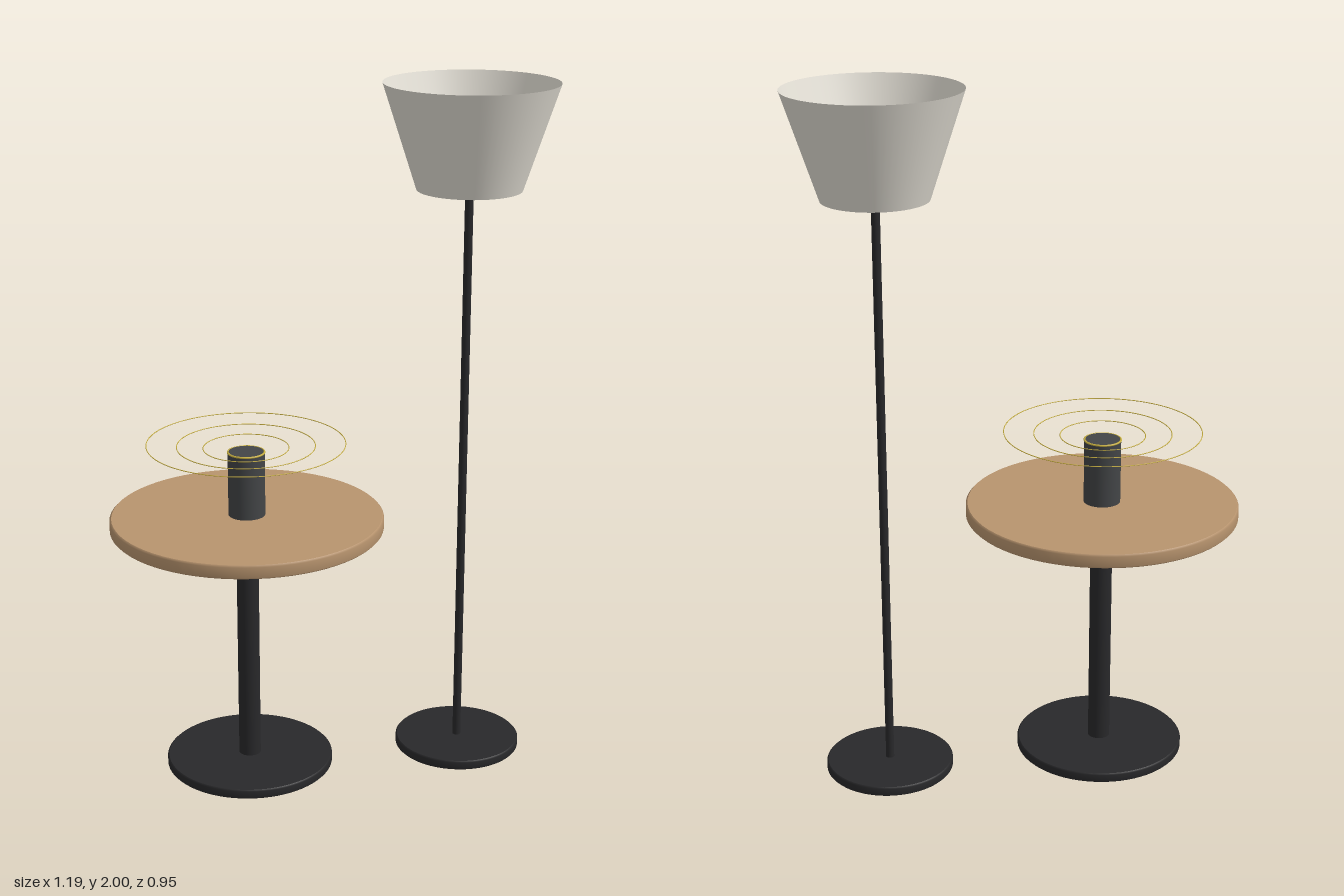
import * as THREE from 'three';

const mat = (color, side = THREE.FrontSide) => new THREE.MeshStandardMaterial({ color, side });

export function createModel() {
  const model = new THREE.Group();
  model.name = 'tableAndFloorLamp';
  const black = mat(0x28282a);
  const wood = mat(0xb8946e);
  const charcoal = mat(0x434547);
  const gold = mat(0xc8b040);
  const cream = mat(0xe6e2d8, THREE.DoubleSide);

  const add = (parent, name, geometry, material, y) => {
    const mesh = new THREE.Mesh(geometry, material);
    mesh.name = name;
    mesh.position.y = y;
    parent.add(mesh);
  };

  // Round slab with small chamfered rims; hard normals come from separate lathe strips
  const disc = (parent, name, r, y0, y1, bevel, material) => {
    const h = y1 - y0;
    const slab = new THREE.Group();
    slab.name = name;
    parent.add(slab);
    const strip = (part, pts) => add(slab, part,
      new THREE.LatheGeometry(pts.map(([x, y]) => new THREE.Vector2(x, y)), 72), material, y0);
    strip('underside', [[0, 0], [r - bevel, 0]]);
    strip('rim', [[r - bevel, 0], [r, bevel], [r, h - bevel], [r - bevel, h]]);
    strip('upperFace', [[r - bevel, h], [0, h]]);
  };
  const post = (parent, name, r, y0, y1, material) =>
    add(parent, name, new THREE.CylinderGeometry(r, r, y1 - y0, 40), material, (y0 + y1) / 2);
  const ring = (parent, name, r, tube, y) =>
    add(parent, name, new THREE.TorusGeometry(r, tube, 8, 96).rotateX(Math.PI / 2), gold, y);

  // Pedestal table with a cylindrical speaker
  const table = new THREE.Group();
  table.name = 'table';
  table.position.set(-0.205, 0, 0.079);
  disc(table, 'tableBase', 0.245, 0, 0.028, 0.004, black);
  post(table, 'tablePost', 0.032, 0.028, 0.745, black);
  disc(table, 'tableTop', 0.393, 0.745, 0.785, 0.005, wood);
  post(table, 'speaker', 0.053, 0.785, 0.975, charcoal);
  ring(table, 'speakerTrim', 0.052, 0.003, 0.973);

  // Thin sound rings spreading above the speaker
  [[0.122, 0.986], [0.197, 0.992], [0.283, 0.999]].forEach(([r, y], i) =>
    ring(table, 'soundRing' + (i + 1), r, 0.0013, y));
  model.add(table);

  // Floor lamp with an open, flared shade
  const lamp = new THREE.Group();
  lamp.name = 'floorLamp';
  lamp.position.set(0.35, 0, -0.23);
  disc(lamp, 'lampBase', 0.185, 0, 0.028, 0.004, black);
  post(lamp, 'lampPole', 0.012, 0.028, 1.705, black);
  add(lamp, 'lampShade', new THREE.CylinderGeometry(0.245, 0.148, 0.296, 72, 1, true), cream, 1.852);
  model.add(lamp);

  return model;
}
